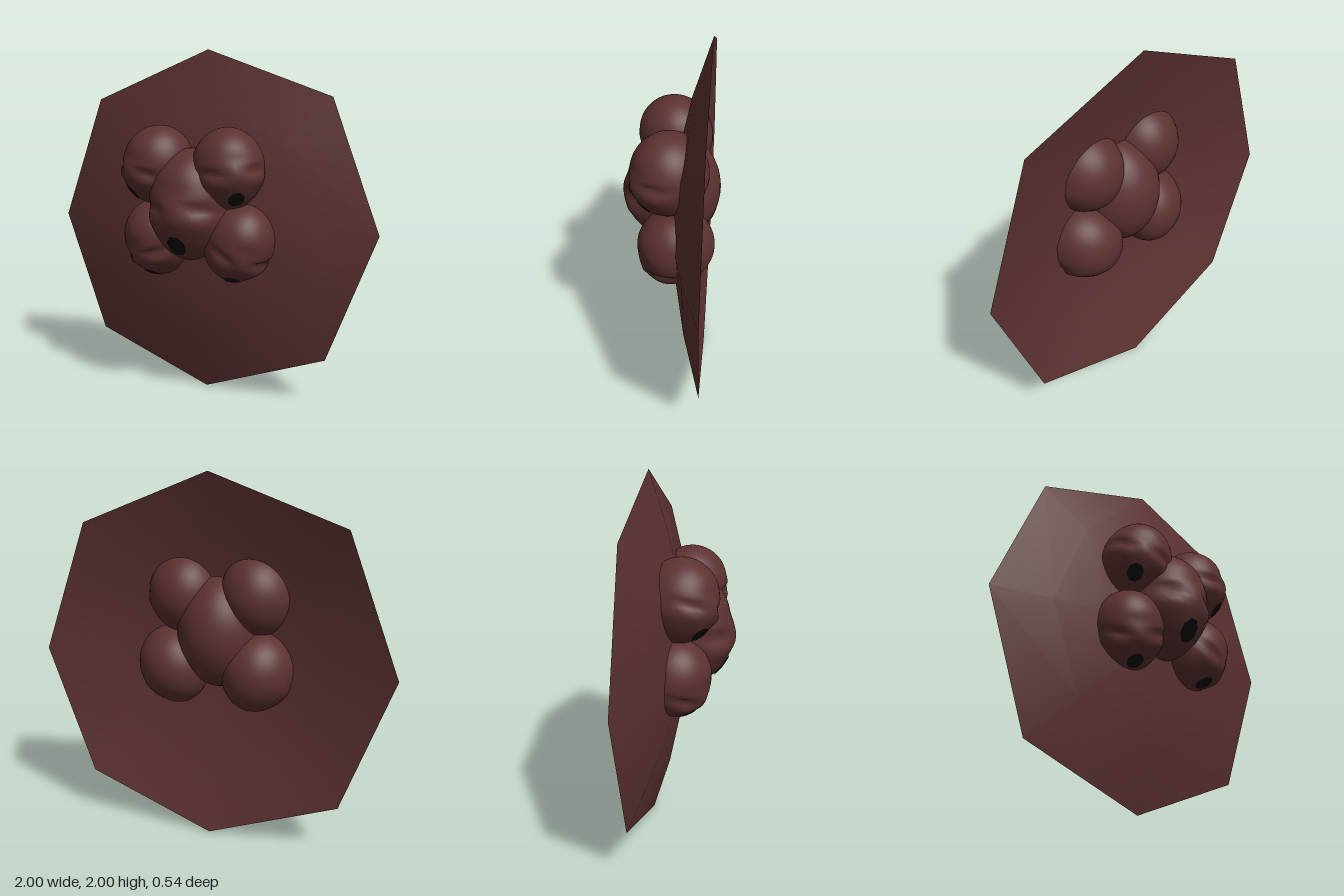
import * as THREE from 'three';

const skin = new THREE.MeshStandardMaterial({ color: 0x5c3131, side: THREE.DoubleSide });
skin.name = 'dark red brown';
const black = new THREE.MeshStandardMaterial({ color: 0x090909, side: THREE.DoubleSide });
black.name = 'black';

const bump = (a, b, ra, rb) => Math.exp(-((a / ra) ** 2) - (b / rb) ** 2);

// Head surface along a unit direction: round skull, narrow chin, sunken eyes, full cheeks
function headPoint(d, out) {
  const { x, y, z } = d;
  let k = 1;
  if (z > 0) {
    for (const s of [-1, 1]) {
      k -= 0.12 * bump(x - s * 0.6, y + 0.02, 0.27, 0.08);
      k += 0.05 * bump(x - s * 0.5, y + 0.25, 0.3, 0.16);
    }
    k += 0.05 * bump(x, y + 0.12, 0.2, 0.22);
    k -= 0.04 * bump(x, y - 0.3, 0.5, 0.16);
  }
  const taper = y < -0.3 ? 1 - 0.12 * (-0.3 - y) : 1;
  return out.set(x * k * taper, y * k, z * k);
}

function shapeHead(geometry, lift = 1) {
  const p = geometry.attributes.position;
  const d = new THREE.Vector3();
  const v = new THREE.Vector3();
  for (let i = 0; i < p.count; i++) {
    d.fromBufferAttribute(p, i).normalize();
    headPoint(d, v).multiplyScalar(lift);
    p.setXYZ(i, v.x, v.y, v.z);
  }
  geometry.computeVertexNormals();
  return geometry;
}

function makeHead(name, { at, size, pitch = 0, yaw = 0, roll = 0 }) {
  const head = new THREE.Group();
  head.name = name;
  const skull = new THREE.Mesh(shapeHead(new THREE.SphereGeometry(1, 40, 32)), skin);
  skull.name = 'skull';
  // Open mouth: a small patch that follows the face
  const patch = new THREE.RingGeometry(0.002, 0.235, 8, 3, Math.PI / 8);
  patch.scale(1, 1.05, 1).rotateX(0.72).translate(0, -0.66, 0.75);
  const mouth = new THREE.Mesh(shapeHead(patch, 1.025), black);
  mouth.name = 'mouth';
  head.add(skull, mouth);
  head.scale.set(...size);
  head.rotation.set(pitch, yaw, roll, 'YXZ');
  head.position.set(...at);
  return head;
}

// Shallow eight-sided dome, bulging toward the front
function makeDish() {
  const rings = [[0.001, -0.01], [0.35, -0.03], [0.68, -0.1], [1, -0.2]];
  const profile = rings.map(([r, z]) => new THREE.Vector2(r, z));
  const geometry = new THREE.LatheGeometry(profile, 8);
  geometry.rotateX(Math.PI / 2);
  // Diagonal corners reach slightly further out
  const p = geometry.attributes.position;
  for (let i = 0; i < p.count; i++) {
    const x = p.getX(i), y = p.getY(i);
    const diagonal = Math.abs(Math.sin(2 * Math.atan2(y, x)));
    const k = 1 + 0.03 * diagonal;
    p.setXY(i, x * k, y * k);
  }
  const dish = new THREE.Mesh(geometry, skin);
  dish.name = 'dish';
  dish.position.y = 1;
  return dish;
}

export function createModel() {
  const model = new THREE.Group();
  model.name = 'dishWithHeads';
  const small = [0.2, 0.225, 0.21];
  model.add(
    makeDish(),
    makeHead('centreHead', { at: [0, 1.14, 0], size: [0.24, 0.315, 0.265] }),
    makeHead('upperRightHead', { at: [-0.215, 1.355, 0], size: small, yaw: -0.5, roll: -0.25, pitch: 0.05 }),
    makeHead('upperLeftHead', { at: [0.215, 1.345, 0], size: small, yaw: 0.6, roll: 0.1, pitch: 0.02 }),
    makeHead('lowerRightHead', { at: [-0.23, 0.935, -0.04], size: small, yaw: -0.35, roll: 0.1, pitch: 0.45 }),
    makeHead('lowerLeftHead', { at: [0.265, 0.935, -0.04], size: small, yaw: 0.5, roll: -0.3, pitch: 0.45 }),
  );
  return model;
}
